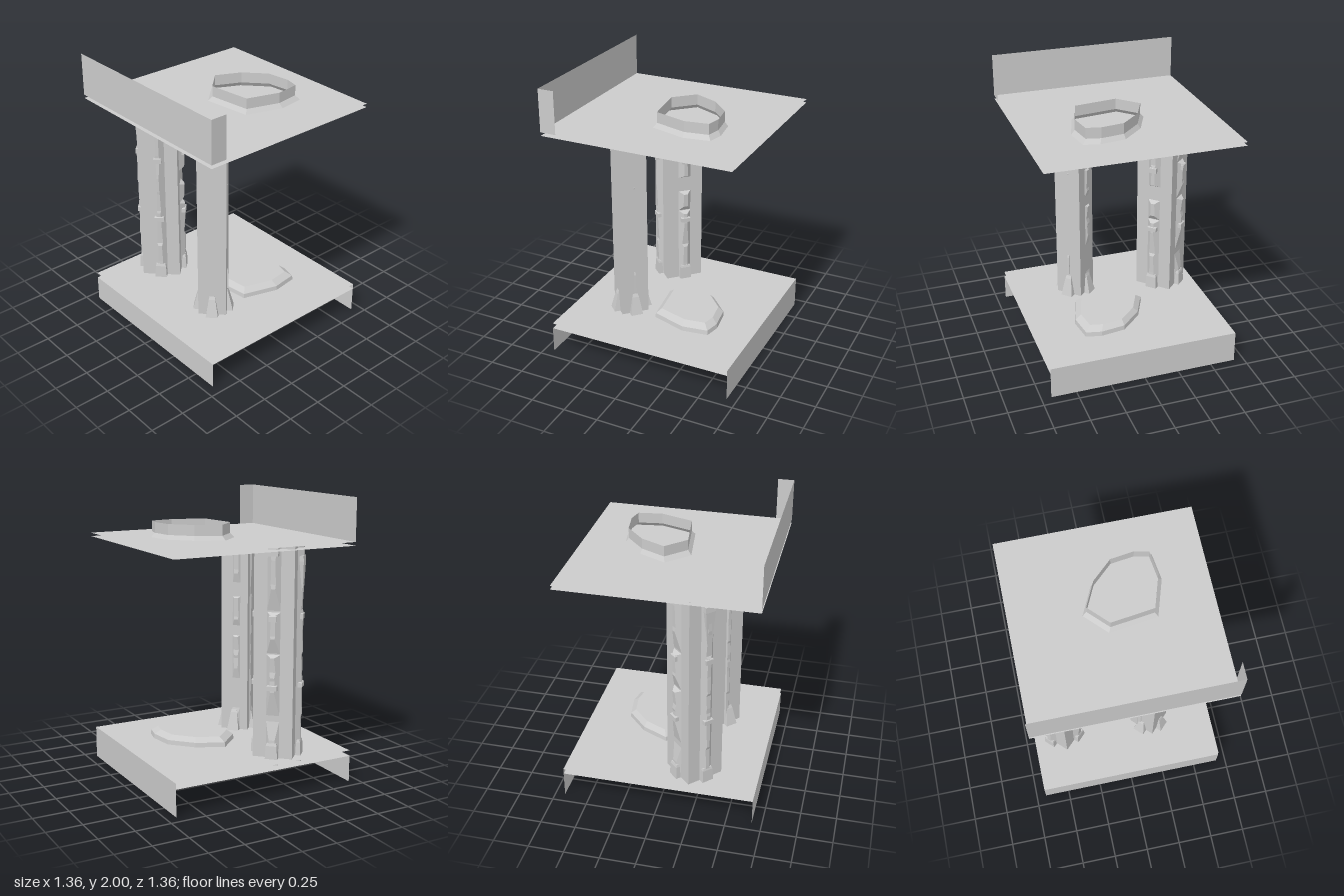
import * as THREE from 'three';

const grey = new THREE.MeshStandardMaterial({ color: 0xcccccc, flatShading: true });
const sheet = new THREE.MeshStandardMaterial({ color: 0xcccccc, flatShading: true, side: THREE.DoubleSide });
const S = 0.68; // half the width of the room

function add(parent, name, geometry, material = grey) {
  const mesh = new THREE.Mesh(geometry, material);
  mesh.name = name;
  parent.add(mesh);
  return mesh;
}

// Joins rings of [x, y, z] points, counter-clockwise from above, bottom to top
function loft(rings, capped = true) {
  const pos = [];
  const tri = (a, b, c) => pos.push(...a, ...b, ...c);
  const n = rings[0].length;
  for (let r = 0; r < rings.length - 1; r++) {
    const lo = rings[r], hi = rings[r + 1];
    for (let i = 0; i < n; i++) {
      const j = (i + 1) % n;
      tri(lo[i], lo[j], hi[j]);
      tri(lo[i], hi[j], hi[i]);
    }
  }
  if (capped) {
    const lo = rings[0], hi = rings[rings.length - 1];
    for (let i = 1; i < n - 1; i++) {
      tri(lo[0], lo[i + 1], lo[i]);
      tri(hi[0], hi[i], hi[i + 1]);
    }
  }
  const g = new THREE.BufferGeometry();
  g.setAttribute('position', new THREE.Float32BufferAttribute(pos, 3));
  g.computeVertexNormals();
  return g;
}

// Tapered stone on a column face: side 0..3 = front left, front right, back right, back left
function stone(parent, name, side, y0, y1, w0, w1, d0, d1) {
  const ring = (y, w, d) => [[-w / 2, y, 0.04], [-w / 2, y, d], [w / 2, y, d], [w / 2, y, 0.04]];
  // the middle ring gives the stone a slightly worn upper edge
  const ym = y1 - (y1 - y0) * 0.12;
  const mix = (a, b) => a + (b - a) * 0.88;
  const g = loft([ring(y0, w0, d0), ring(ym, mix(w0, w1), mix(d0, d1)), ring(y1, w1 * 0.9, d1 - 0.004)]);
  add(parent, name, g).rotation.y = -Math.PI / 4 + side * Math.PI / 2;
}

// Square pier whose four corners are chipped by a different amount at each height
function pier(parent, [x0, x1, z0, z1], chips) {
  add(parent, 'chippedPier', loft(chips.map(([y, a, b, c, d]) => [
    [x0, y, z1 - a], [x0 + a, y, z1], [x1 - b, y, z1], [x1, y, z1 - b],
    [x1, y, z0 + c], [x1 - c, y, z0], [x0 + d, y, z0], [x0, y, z0 + d],
  ])));
}

function column(name, x, z, radius) {
  const g = new THREE.Group();
  g.name = name;
  g.position.set(x, 0, z);
  const shaft = new THREE.CylinderGeometry(radius, radius, 1.47, 4);
  add(g, 'shaft', shaft).position.y = 0.965;
  return g;
}

// Chip sizes: height, then front left, front right, back right, back left
const G = 0.068;
const chips = [
  [0.19, 0.02, 0.02, 0.02, 0.02], [0.36, 0.02, 0.025, 0.025, 0.03],
  [0.50, 0.024, 0.018, 0.02, G], [0.52, 0.015, 0.03, 0.035, G],
  [0.70, 0.022, 0.02, 0.015, 0.02], [0.78, 0.018, 0.016, 0.02, 0.025],
  [0.80, 0.024, 0.022, G, 0.02], [0.84, 0.02, 0.02, 0.025, 0.03],
  [0.94, 0.026, 0.015, 0.02, 0.018], [0.96, 0.016, 0.012, G, G],
  [1.07, 0.02, 0.01, G, 0.02], [1.09, 0.022, 0.012, 0.02, 0.025],
  [1.23, 0.015, 0.02, 0.016, 0.02], [1.25, 0.03, 0.018, 0.025, G],
  [1.41, 0.02, 0.015, 0.02, 0.02], [1.44, 0.015, 0.03, G, 0.025],
  [1.60, 0.016, 0.028, 0.03, 0.02], [1.70, 0.02, 0.03, 0.03, 0.03],
];

function thickColumn() {
  const g = column('thickColumn', -0.45, 0.22, 0.195);
  pier(g, [-0.13, 0.13, -0.13, 0.13], chips);
  for (let i = 0; i < 4; i++) {
    stone(g, 'footStone', i, 0.19, 0.34, 0.09, 0.075, 0.178, 0.172);
    stone(g, 'bandStone', i, 0.715, 0.75, 0.07, 0.07, 0.178, 0.178);
    stone(g, 'bandStone', i, 1.19, 1.23, 0.055, 0.055, 0.176, 0.176);
    if (i > 0) stone(g, 'topStone', i, 1.63, 1.69, 0.07, 0.07, 0.183, 0.183);
  }
  stone(g, 'topStone', 0, 1.3, 1.62, 0.03, 0.08, 0.165, 0.178);
  return g;
}

function thinColumn() {
  const g = column('thinColumn', 0.215, 0.285, 0.14);
  pier(g, [-0.1, 0.067, -0.08, 0.069], chips.map(([y, a, b, c, d]) =>
    [y, a * 0.8, 0.02, y > 1.1 && y < 1.24 ? 0.004 : 0.035, d]));
  for (let i = 0; i < 4; i++) stone(g, 'footWedge', i, 0.19, 0.385, 0.1, 0.04, 0.152, 0.105);
  // brackets widening towards the ceiling
  for (const i of [0, 2]) stone(g, 'topBracket', i, 1.5, 1.7, 0.02, 0.1, 0.1, 0.15);
  stone(g, 'topChip', 1, 1.63, 1.69, 0.006, 0.02, 0.1, 0.105);
  stone(g, 'sideChip', 2, 0.4, 0.56, 0.02, 0.015, 0.108, 0.106);
  return g;
}

// Uneven outline shared by the rim above and the slab below
const outline = [
  [-0.05, 0.1], [0.285, 0.055], [0.365, -0.2], [0.34, -0.385],
  [0.23, -0.41], [0.05, -0.385], [-0.105, -0.24], [-0.195, -0.05],
];
const outlineRing = (y, s) => outline.map(([x, z]) => [0.09 + (x - 0.09) * s, y, -0.155 + (z + 0.155) * s]);

function level(parent, name, y) {
  const p = add(parent, name, new THREE.PlaneGeometry(2 * S, 2 * S), sheet);
  p.rotation.x = -Math.PI / 2;
  p.position.y = y;
}

function wall(parent, name, y0, y1, z) {
  const p = add(parent, name, new THREE.PlaneGeometry(2 * S, y1 - y0), sheet);
  p.position.set(0, (y0 + y1) / 2, z);
}

export function createModel() {
  const model = new THREE.Group();
  model.name = 'columnRoom';

  // Floor and ceiling sheets
  level(model, 'lowerFloor', 0.19);
  level(model, 'upperFloor', 0.23);
  level(model, 'lowerCeiling', 1.675);
  level(model, 'upperCeiling', 1.7);

  // Edge panels
  wall(model, 'frontBasePanel', 0, 0.19, S);
  wall(model, 'backBasePanel', 0, 0.23, -S);
  wall(model, 'frontTopPanel', 1.7, 2, S);
  const end = add(model, 'topPanelReturn', new THREE.PlaneGeometry(0.115, 0.3), sheet);
  end.rotation.y = Math.PI / 2;
  end.position.set(S, 1.85, S - 0.0575);

  model.add(thickColumn(), thinColumn());

  // Open rim on the ceiling, slab on the floor
  add(model, 'ceilingRim', loft([outlineRing(1.7, 1), outlineRing(1.73, 0.9), outlineRing(1.805, 0.9)], false), sheet);
  add(model, 'floorSlab', loft([
    outlineRing(0.19, 0.98), outlineRing(0.225, 1), outlineRing(0.262, 0.98), outlineRing(0.295, 0.82),
  ]));
  return model;
}
